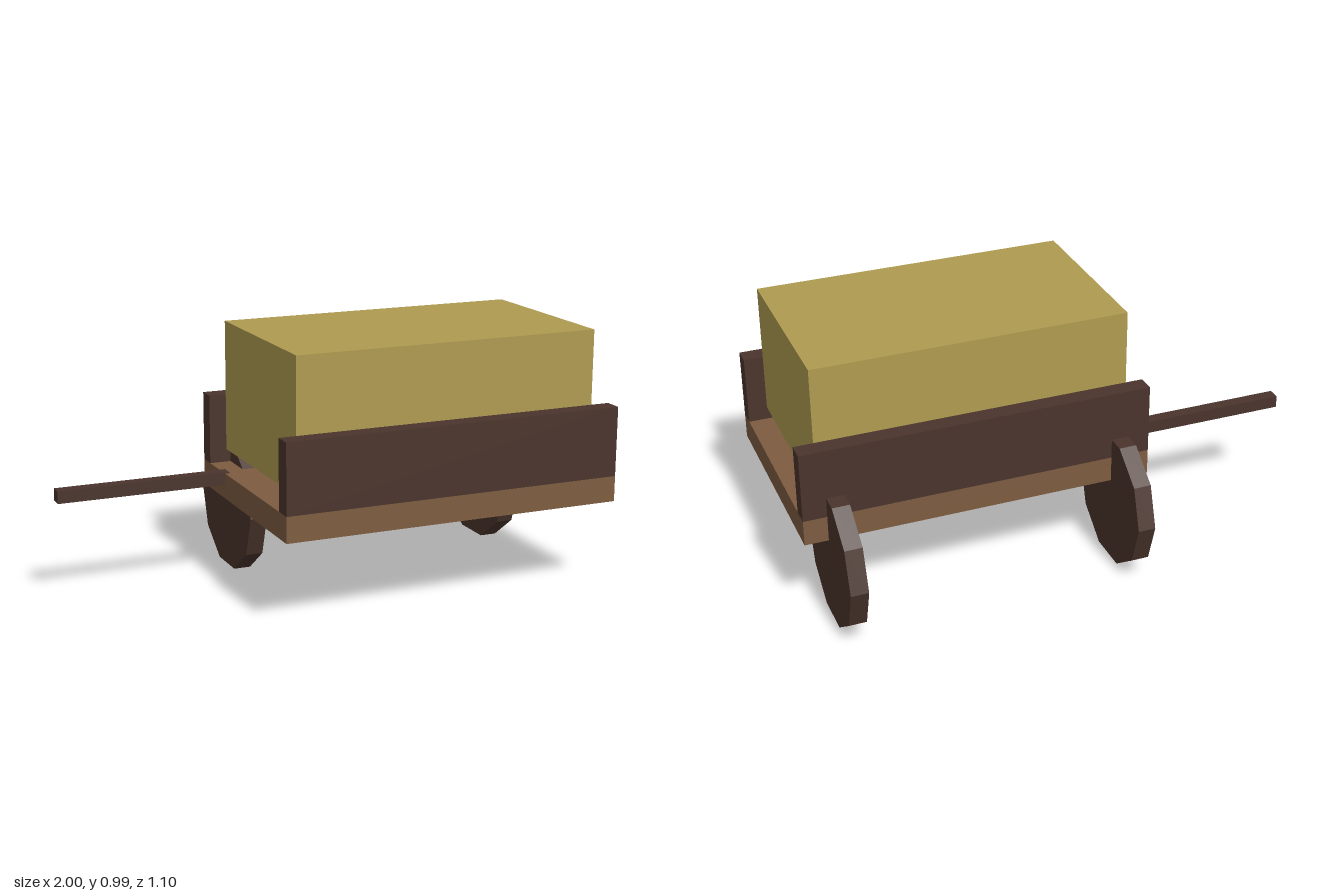
import * as THREE from 'three';

export function createModel() {
  const cart = new THREE.Group();
  cart.name = 'hayCart';

  const mat = (name, color) => {
    const m = new THREE.MeshStandardMaterial({ color });
    m.name = name;
    return m;
  };
  const darkWood = mat('dark wood', 0x4a342c);
  const lightWood = mat('light wood', 0x7d5c40);
  const straw = mat('straw', 0xaf9b50);

  // Box given by its extents along each axis
  const box = (name, material, [x0, x1], [y0, y1], [z0, z1]) => {
    const mesh = new THREE.Mesh(new THREE.BoxGeometry(x1 - x0, y1 - y0, z1 - z0), material);
    mesh.position.set((x0 + x1) / 2, (y0 + y1) / 2, (z0 + z1) / 2);
    mesh.name = name;
    cart.add(mesh);
  };

  const length = [-0.345, 1];
  box('bed', lightWood, length, [0.336, 0.435], [-0.296, 0.551]);
  box('frontBoard', darkWood, length, [0.435, 0.704], [0.481, 0.551]);
  box('backBoard', darkWood, length, [0.435, 0.704], [-0.296, -0.227]);
  box('hayBale', straw, [-0.278, 0.926], [0.485, 0.992], [-0.226, 0.481]);
  box('handle', darkWood, [-1, -0.328], [0.391, 0.439], [-0.111, -0.063]);

  // Ten-sided wheels resting on a flat edge
  const radius = 0.269;
  const hubHeight = radius * Math.cos(Math.PI / 10);
  const wheelGeometry = new THREE.CylinderGeometry(radius, radius, 0.067, 10).toNonIndexed();
  wheelGeometry.rotateZ(Math.PI / 2);
  wheelGeometry.computeVertexNormals();
  [['rightWheel', -0.228], ['leftWheel', 0.877]].forEach(([name, x]) => {
    const wheel = new THREE.Mesh(wheelGeometry, darkWood);
    wheel.name = name;
    wheel.position.set(x, hubHeight, -0.283);
    cart.add(wheel);
  });

  return cart;
}
